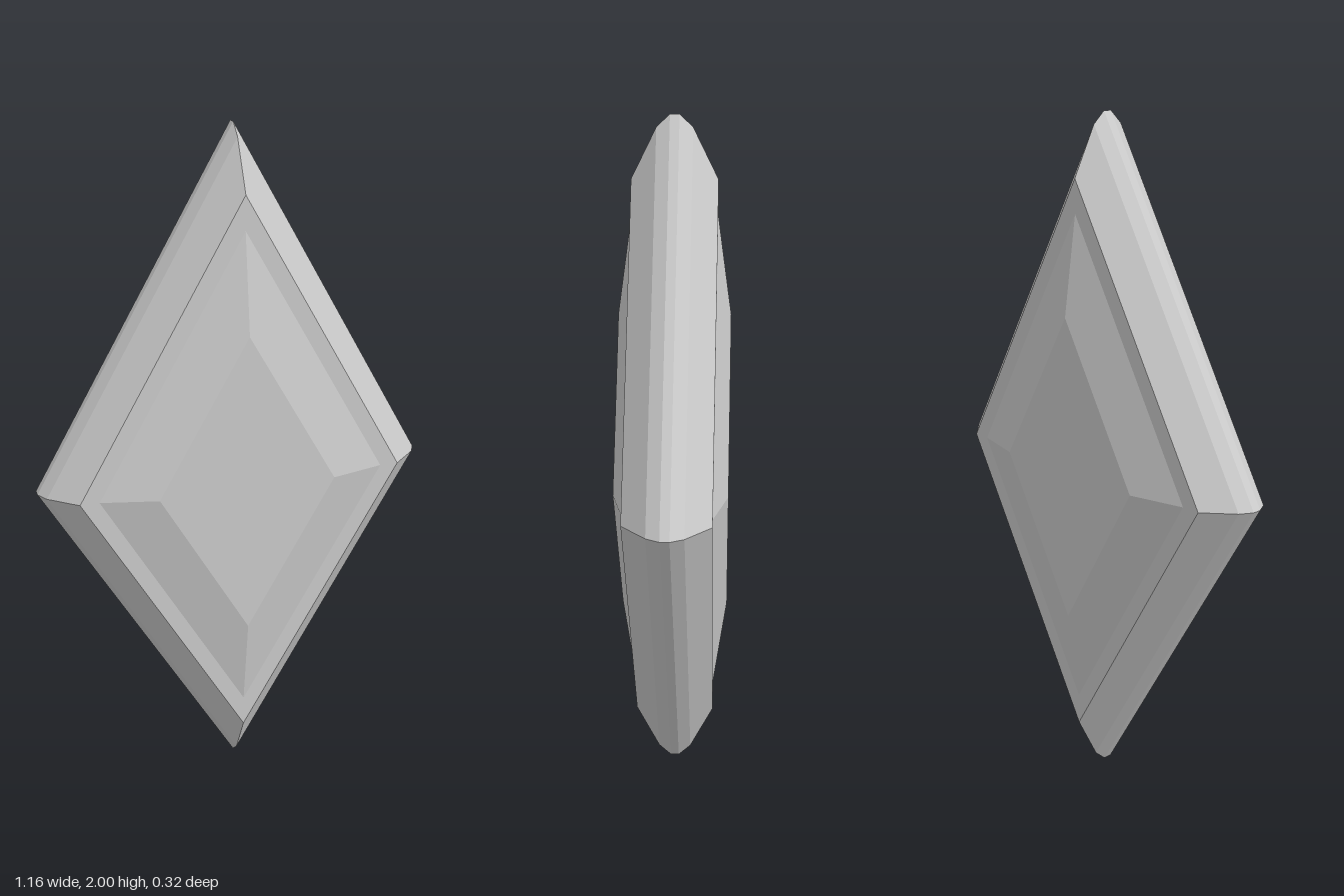
import * as THREE from 'three';

const HALF_WIDTH = 0.58;

// Four-sided lathe laid on its side: points are [half width in x, z], from back to front
function rhombus(name, profile, material) {
  const points = profile.map(([w, z]) => new THREE.Vector2(w / HALF_WIDTH, z));
  const geometry = new THREE.LatheGeometry(points, 4).toNonIndexed();
  geometry.rotateX(Math.PI / 2);
  geometry.scale(HALF_WIDTH, 1, 1);
  geometry.computeVertexNormals();
  const mesh = new THREE.Mesh(geometry, material);
  mesh.name = name;
  return mesh;
}

export function createModel() {
  const group = new THREE.Group();
  group.name = 'diamondGem';
  const material = new THREE.MeshStandardMaterial({ color: 0xcccccc, flatShading: true });

  // Rim: bevelled edge with a flat ledge on each face
  const halfRim = [[0.58, 0.013], [0.56, 0.05], [0.48, 0.12], [0.425, 0.12]];
  const backRim = halfRim.map(([w, z]) => [w, -z]).reverse();
  group.add(rhombus('rim', [...backRim, ...halfRim], material));

  // Raised cut facets with a flat table on both faces
  const facets = [[0.425, 0.12], [0.262, 0.16], [0, 0.16]];
  const front = rhombus('frontFacets', facets, material);
  const back = rhombus('backFacets', facets, material);
  back.rotation.y = Math.PI;
  group.add(front, back);

  group.children.forEach((part) => { part.position.y = 1; });
  return group;
}
